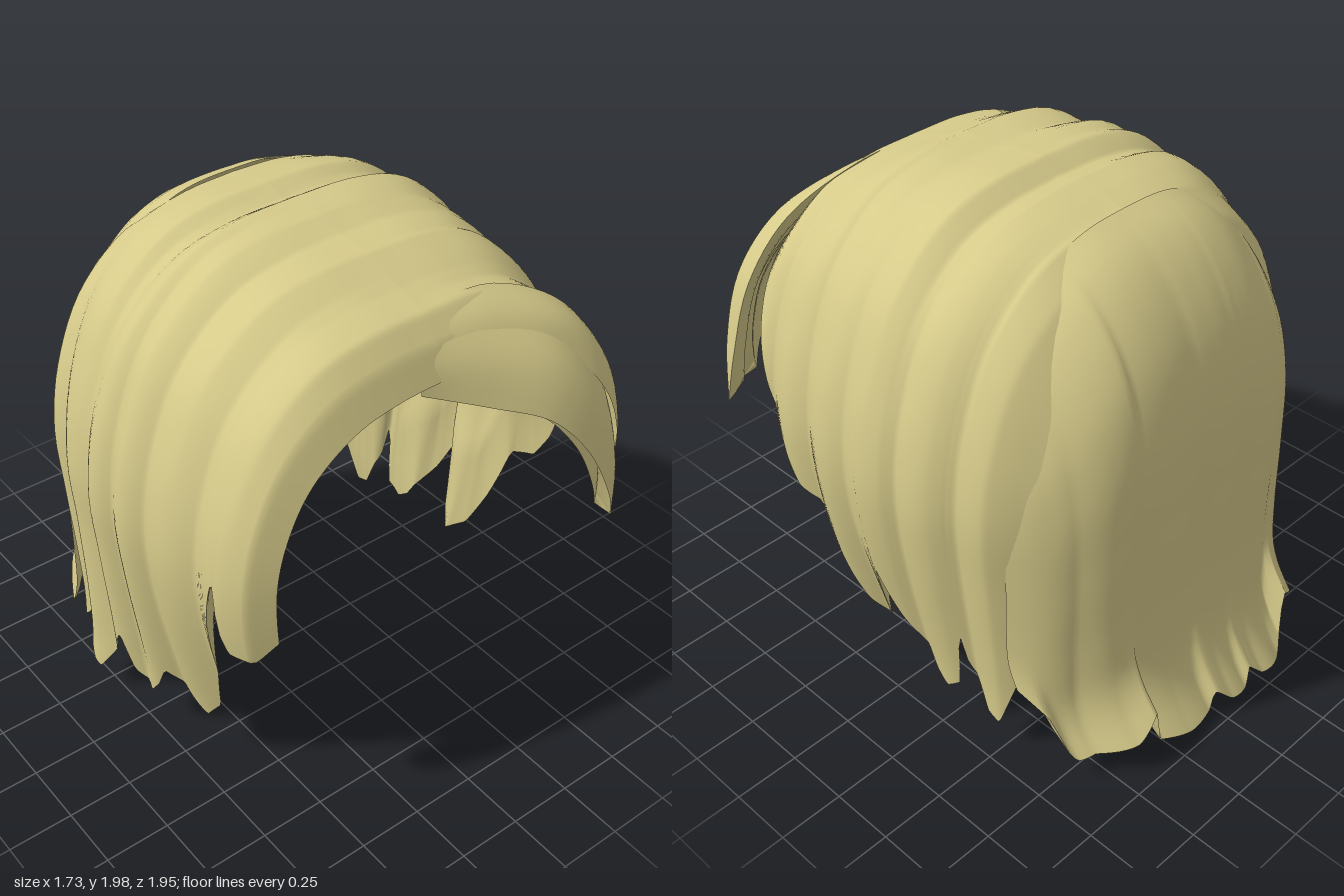
import * as THREE from 'three';

const hairMaterial = new THREE.MeshStandardMaterial({ color: 0xd6ca8a, side: THREE.DoubleSide });
const THICKNESS = 0.06;

// Linear lookup in a list of [key, value] pairs with rising keys
function lookup(list, k) {
  if (k <= list[0][0]) return list[0][1];
  for (let i = 1; i < list.length; i++) {
    const [a, va] = list[i - 1], [b, vb] = list[i];
    if (k <= b) return va + (vb - va) * (k - a) / (b - a);
  }
  return list[list.length - 1][1];
}

function gridGeometry(pos, nu, nv) {
  const idx = [];
  for (let i = 0; i < nu; i++) {
    for (let j = 0; j < nv; j++) {
      const a = i * (nv + 1) + j, b = a + nv + 1;
      idx.push(a, a + 1, b, b, a + 1, b + 1);
    }
  }
  const g = new THREE.BufferGeometry();
  g.setAttribute('position', new THREE.Float32BufferAttribute(pos, 3));
  g.setIndex(idx);
  g.computeVertexNormals();
  return g;
}

// Smooth lock layer from a rule point(u, v): an outer face, and an inner face that meets it at the edges
function layer(name, nu, nv, point) {
  const outer = [], inner = [];
  for (let i = 0; i <= nu; i++) {
    for (let j = 0; j <= nv; j++) outer.push(...point(i / nu, j / nv));
  }
  const g = gridGeometry(outer, nu, nv), n = g.attributes.normal;
  let facing = 0;
  for (let k = 0; k < n.count; k++) {
    facing += n.getX(k) * outer[3 * k] + n.getY(k) * (outer[3 * k + 1] - 0.9) + n.getZ(k) * outer[3 * k + 2];
  }
  for (let k = 0; k < n.count; k++) {
    const u = Math.floor(k / (nv + 1)) / nu, v = (k % (nv + 1)) / nv;
    const d = -Math.sign(facing) * THICKNESS * Math.min(1, 14 * u, 14 * (1 - u), 6 * (1 - v));
    inner.push(outer[3 * k] + n.getX(k) * d, outer[3 * k + 1] + n.getY(k) * d, outer[3 * k + 2] + n.getZ(k) * d);
  }
  const group = new THREE.Group();
  group.name = name;
  const faces = [['outerFace', g], ['innerFace', gridGeometry(inner, nu, nv)]];
  for (const [label, geometry] of faces) {
    const mesh = new THREE.Mesh(geometry, hairMaterial);
    mesh.name = label;
    group.add(mesh);
  }
  return group;
}

const curve = pts => new THREE.CatmullRomCurve3(pts.map(p => new THREE.Vector3(...p)), false, 'centripetal');

// Rounded bulge of the lock that k falls in, 0 at the creases
function rib(creases, k) {
  for (let i = 1; i < creases.length; i++) {
    if (k < creases[i]) {
      const f = (k - creases[i - 1]) / (creases[i] - creases[i - 1]);
      return Math.max(0, Math.sin(Math.PI * f));
    }
  }
  return 0;
}

// Half outline of the head of hair, crown to hem
const arch = curve([[0, 2, 0], [0.24, 1.985, 0], [0.46, 1.92, 0], [0.68, 1.72, 0], [0.81, 1.42, 0], [0.86, 1.1, 0],
  [0.84, 0.8, 0], [0.8, 0.45, 0], [0.78, 0.25, 0], [0.78, 0, 0]]).getSpacedPoints(160);

// Height of the crown and half width along z
const crownTop = [[-0.62, 1.68], [-0.5, 1.84], [-0.4, 1.93], [-0.3, 1.955], [-0.2, 1.975], [-0.11, 1.94], [-0.03, 1.99],
  [0.1, 1.98], [0.2, 1.945], [0.35, 1.95], [0.5, 1.885], [0.62, 1.85], [0.69, 1.77], [0.74, 1.66]];
const halfWidth = [[-0.62, 0.65], [-0.5, 0.735], [-0.3, 0.8], [-0.1, 0.84], [0.1, 0.84], [0.4, 0.805],
  [0.6, 0.775], [0.69, 0.755], [0.74, 0.68]];

// Jagged hem heights, sideways swing of the tips, and creases between locks, all along z
const sides = [
  { name: 'leftSideLocks', s: 1,
    hem: [[-0.62, 0.62], [-0.57, 0.4], [-0.5, 0.15], [-0.44, 0.17], [-0.36, 0.36], [-0.345, 0.52], [-0.32, 0.24],
      [-0.26, 0.19], [-0.2, 0.24], [-0.07, 0.45], [0.01, 0.64], [0.03, 0.34], [0.09, 0.27], [0.17, 0.33],
      [0.24, 0.5], [0.33, 0.76], [0.42, 0.79], [0.5, 0.93], [0.58, 1.15], [0.69, 1.56], [0.74, 1.59]],
    swing: [[-0.6, 0.02], [-0.4, -0.01], [-0.2, -0.04], [0.1, -0.1], [0.35, -0.06]],
    creases: [-0.62, -0.38, -0.15, 0.1, 0.32, 0.55, 0.74] },
  { name: 'rightSideLocks', s: -1,
    hem: [[-0.62, 0.5], [-0.57, 0.3], [-0.5, 0.14], [-0.44, 0.2], [-0.38, 0.45], [-0.33, 0.2], [-0.22, 0.13],
      [-0.15, 0.25], [-0.06, 0.42], [-0.02, 0.25], [0.05, 0.18], [0.11, 0.26], [0.15, 0.36], [0.22, 0.29],
      [0.32, 0.23], [0.4, 0.34], [0.46, 0.62], [0.5, 0.88], [0.56, 1.12], [0.58, 0.9], [0.61, 0.82],
      [0.7, 0.82], [0.74, 0.9]],
    swing: [[-0.5, 0.02], [-0.25, 0.06], [0, 0], [0.2, -0.06], [0.4, -0.1]],
    creases: [-0.62, -0.4, -0.15, 0.02, 0.2, 0.45, 0.74] },
];

function sideLocks({ name, s, hem, swing, creases }) {
  return layer(name, 130, 36, (u, v) => {
    const z = -0.62 + 1.36 * u;
    const top = lookup(crownTop, z), w = lookup(halfWidth, z) / 0.86, low = lookup(hem, z);
    const fit = y => y > 1.1 ? 1.1 + (y - 1.1) * (top - 1.1) / 0.9 : y;
    let end = 1;
    while (end < 160 && fit(arch[end].y) > low) end++;
    // Exact position of the hem on the outline
    const y0 = fit(arch[end - 1].y), y1 = fit(arch[end].y);
    const q = v * (end - 1 + Math.min(1, Math.max(0, (y0 - low) / (y0 - y1))));
    const i = Math.min(159, Math.floor(q));
    const p = arch[i].clone().lerp(arch[i + 1], q - i);
    const away = Math.min(1, p.x / 0.5);
    const bulge = 0.032 * rib(creases, z) * away;
    const dir = Math.min(1, Math.max(0, p.y - 1));
    const tip = lookup(swing, z) * Math.max(0, (0.9 - p.y) / 0.7) ** 1.5;
    return [s * (p.x * w + bulge * (1 - 0.5 * dir) - 0.005 * away + tip), fit(p.y) + bulge * 0.4 * dir, z];
  });
}

// Profile of the back, seam to flared tips
const backProfile = curve([[0, 1.94, -0.4], [0, 1.88, -0.52], [0, 1.77, -0.63], [0, 1.58, -0.735], [0, 1.3, -0.8],
  [0, 0.9, -0.815], [0, 0.5, -0.815], [0, 0.25, -0.83], [0, 0.12, -0.875], [0, 0, -0.95]]).getSpacedPoints(40);
const backHem = [[-0.72, 0.16], [-0.69, 0.09], [-0.6, 0.16], [-0.46, 0.26], [-0.44, 0.07], [-0.39, 0.01], [-0.26, 0.03],
  [-0.19, 0.1], [-0.16, 0.03], [-0.06, 0.05], [0.01, 0.12], [0.05, 0.06], [0.18, 0.06], [0.31, 0.09], [0.33, 0.25],
  [0.42, 0.15], [0.6, 0.1], [0.62, 0.14], [0.66, 0.3], [0.72, 0.42]];
const backCreases = [-0.72, -0.45, -0.2, 0.02, 0.32, 0.54, 0.72];

function backPanel() {
  return layer('backLocks', 110, 40, (u, v) => {
    const a = 2 * u - 1, x = 0.71 * a, p = backProfile[Math.round(v * 40)];
    const low = lookup(backHem, x), top = 1.94 - 0.62 * Math.abs(a) ** 3;
    const depth = 1 - 0.62 * Math.abs(a) ** 4;
    const bulge = rib(backCreases, x) * (0.01 + 0.022 * v ** 3);
    return [x, low + p.y / 1.94 * (top - low), -0.4 + (p.z + 0.4) * depth - bulge * Math.min(1, v * 4) + 0.01 * v];
  });
}

// Bulging lock stretched between two edge curves
function fringeLock(name, lower, upper, bulge) {
  const a = curve(lower), b = curve(upper);
  return layer(name, 28, 10, (u, v) => {
    const p = a.getPoint(u).lerp(b.getPoint(u), v);
    const out = bulge * Math.sin(Math.PI * v) * Math.sin(Math.PI * (0.1 + 0.9 * u));
    return [p.x + out * 0.5, p.y + out * 0.4, p.z + out * 0.7];
  });
}

export function createModel() {
  const hair = new THREE.Group();
  hair.name = 'hair';
  for (const side of sides) hair.add(sideLocks(side));
  hair.add(backPanel());

  // Fringe swept toward the left
  hair.add(fringeLock('frontFringe',
    [[-0.08, 1.62, 0.72], [0.13, 1.54, 0.82], [0.33, 1.45, 0.91], [0.48, 1.28, 0.96], [0.59, 1.06, 0.98], [0.65, 0.92, 0.955]],
    [[-0.1, 1.76, 0.68], [0.2, 1.76, 0.71], [0.45, 1.68, 0.77], [0.63, 1.47, 0.83], [0.69, 1.22, 0.87], [0.655, 0.92, 0.95]], 0.04));
  hair.add(fringeLock('sideFringe',
    [[-0.05, 1.72, 0.7], [0.2, 1.71, 0.74], [0.45, 1.64, 0.8], [0.62, 1.44, 0.87], [0.73, 1.22, 0.86], [0.815, 0.98, 0.8]],
    [[-0.05, 1.85, 0.6], [0.3, 1.84, 0.6], [0.57, 1.71, 0.66], [0.73, 1.5, 0.7], [0.8, 1.2, 0.75], [0.82, 0.98, 0.795]], 0.04));
  return hair;
}
